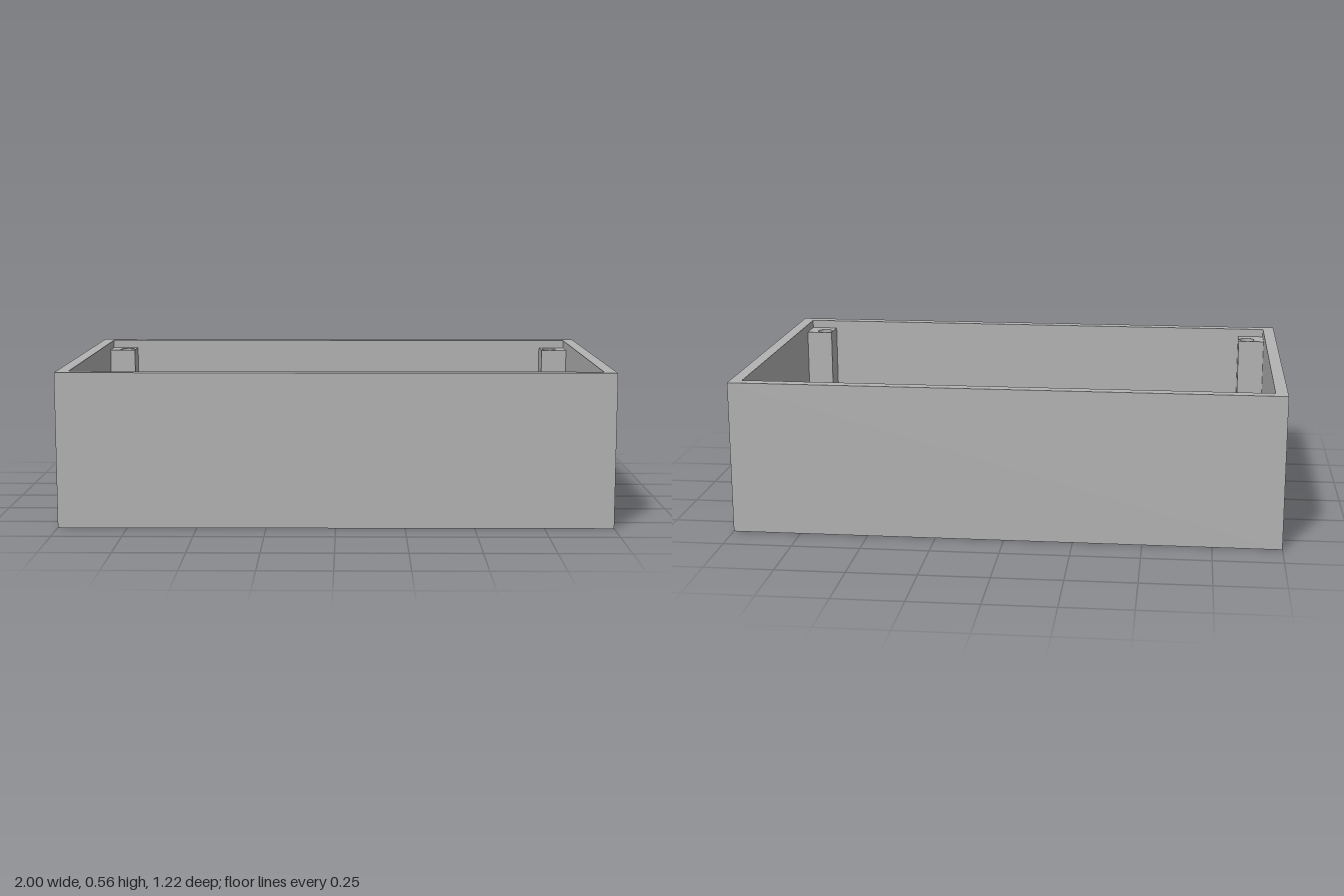
import * as THREE from 'three';

const W = 1, D = 0.608, H = 0.562;      // outer half width, half depth, height
const T = 0.044;                        // wall and floor thickness
const POST = 0.102, POST_TOP = 0.531;   // corner post width and top level

const grey = new THREE.MeshStandardMaterial({ color: 0xb2b2b2 });
grey.name = 'grey plastic';

// Rectangle between two opposite corners, listed in order
function rectangle(PathType, x0, y0, x1, y1) {
  const path = new PathType();
  path.moveTo(x0, y0).lineTo(x1, y0).lineTo(x1, y1).lineTo(x0, y1).closePath();
  return path;
}

// Extrudes a plan outline upwards from one level to another
function extrudeUp(name, shape, from, to) {
  const geometry = new THREE.ExtrudeGeometry(shape, {
    depth: to - from, bevelEnabled: false, curveSegments: 16,
  });
  geometry.rotateX(-Math.PI / 2).translate(0, from, 0);
  const mesh = new THREE.Mesh(geometry, grey);
  mesh.name = name;
  return mesh;
}

export function createModel() {
  const box = new THREE.Group();
  box.name = 'openEnclosure';
  const ix = W - T, iz = D - T;

  // Four walls as one ring
  const ring = rectangle(THREE.Shape, -W, -D, W, D);
  ring.holes.push(rectangle(THREE.Path, -ix, -iz, ix, iz));
  box.add(extrudeUp('walls', ring, 0, H));

  // Floor between the walls
  box.add(extrudeUp('floor', rectangle(THREE.Shape, -ix, -iz, ix, iz), 0, T));

  // Corner screw posts, a little lower than the rim, each with a round bore
  for (const sx of [-1, 1]) {
    for (const sz of [-1, 1]) {
      const post = rectangle(THREE.Shape, sx * ix, sz * iz, sx * (ix - POST), sz * (iz - POST));
      const bore = new THREE.Path();
      bore.absarc(sx * 0.888, sz * 0.496, 0.03, 0, Math.PI * 2);
      post.holes.push(bore);
      const side = sx > 0 ? 'Left' : 'Right';
      box.add(extrudeUp((sz > 0 ? 'back' : 'front') + side + 'Post', post, T, POST_TOP));
    }
  }
  return box;
}
